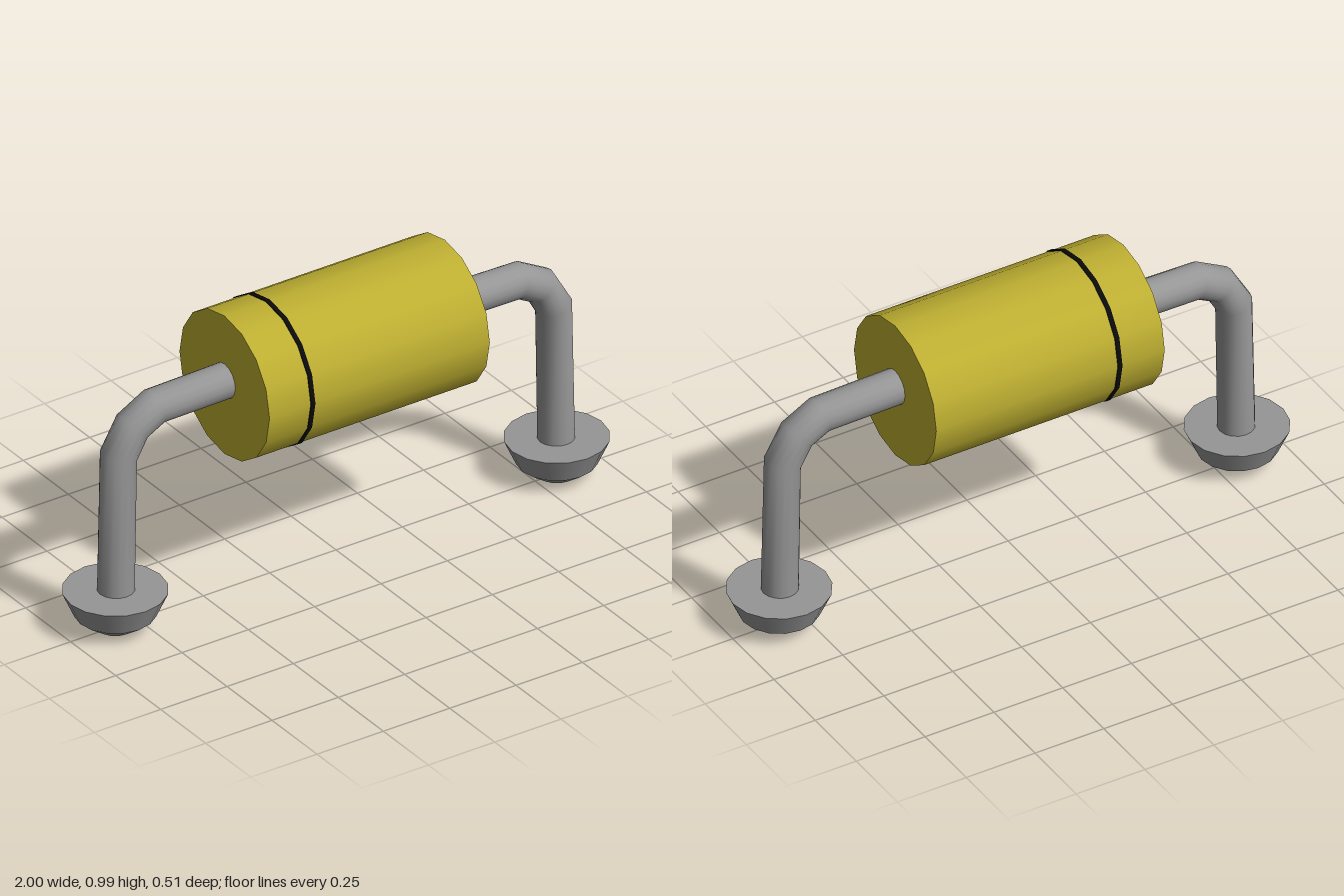
import * as THREE from 'three';

// Lead centre line: one tube ring at each listed point
class LeadPath extends THREE.Curve {
  constructor(points) {
    super();
    this.points = points.map(([x, y]) => new THREE.Vector3(x, y, 0));
  }
  getPoint(t) {
    return this.points[Math.round(t * (this.points.length - 1))].clone();
  }
  getPointAt(t) {
    return this.getPoint(t);
  }
  getTangentAt(t) {
    const p = this.points, last = p.length - 1, i = Math.round(t * last);
    const tangent = new THREE.Vector3();
    if (i > 0) tangent.add(p[i].clone().sub(p[i - 1]).normalize());
    if (i < last) tangent.add(p[i + 1].clone().sub(p[i]).normalize());
    return tangent.normalize();
  }
}

export function createModel() {
  const yellow = new THREE.MeshStandardMaterial({ color: 0xbdae31 });
  const black = new THREE.MeshStandardMaterial({ color: 0x0a0a0a });
  const metal = new THREE.MeshStandardMaterial({ color: 0x969696 });
  yellow.name = 'yellowCasing';
  black.name = 'blackMark';
  metal.name = 'greyMetal';

  const model = new THREE.Group();
  model.name = 'axialComponent';

  const add = (parent, name, geometry, material, x = 0, y = 0) => {
    const mesh = new THREE.Mesh(geometry, material);
    mesh.name = name;
    mesh.position.set(x, y, 0);
    parent.add(mesh);
  };

  // Casing and its marking band lie along x
  const drum = (radius, length) =>
    new THREE.CylinderGeometry(radius, radius, length, 16).rotateZ(Math.PI / 2);
  add(model, 'casing', drum(0.25, 0.83), yellow, -0.005, 0.738);
  add(model, 'polarityBand', drum(0.253, 0.016), black, -0.257, 0.738);

  // Bent lead and solder foot, repeated by a half turn
  const path = new LeadPath([[0.38, 0.755], [0.685, 0.75], [0.768, 0.705], [0.82, 0.615], [0.83, 0.1]]);
  const leadGeometry = new THREE.TubeGeometry(path, 4, 0.06, 16);
  const footUpper = new THREE.CylinderGeometry(0.168, 0.13, 0.085, 16, 1, true);
  const footLower = new THREE.CylinderGeometry(0.13, 0.06, 0.05, 16, 1, true);
  const footTop = new THREE.CircleGeometry(0.168, 16).rotateX(-Math.PI / 2);
  const footBase = new THREE.CircleGeometry(0.06, 16).rotateX(Math.PI / 2);

  for (const side of ['left', 'right']) {
    const leg = new THREE.Group();
    leg.name = side + 'Leg';
    add(leg, side + 'Lead', leadGeometry, metal);
    add(leg, side + 'FootUpper', footUpper, metal, 0.832, 0.0925);
    add(leg, side + 'FootLower', footLower, metal, 0.832, 0.025);
    add(leg, side + 'FootTop', footTop, metal, 0.832, 0.135);
    add(leg, side + 'FootBase', footBase, metal, 0.832, 0);
    if (side === 'right') leg.rotation.y = Math.PI;
    model.add(leg);
  }
  return model;
}
